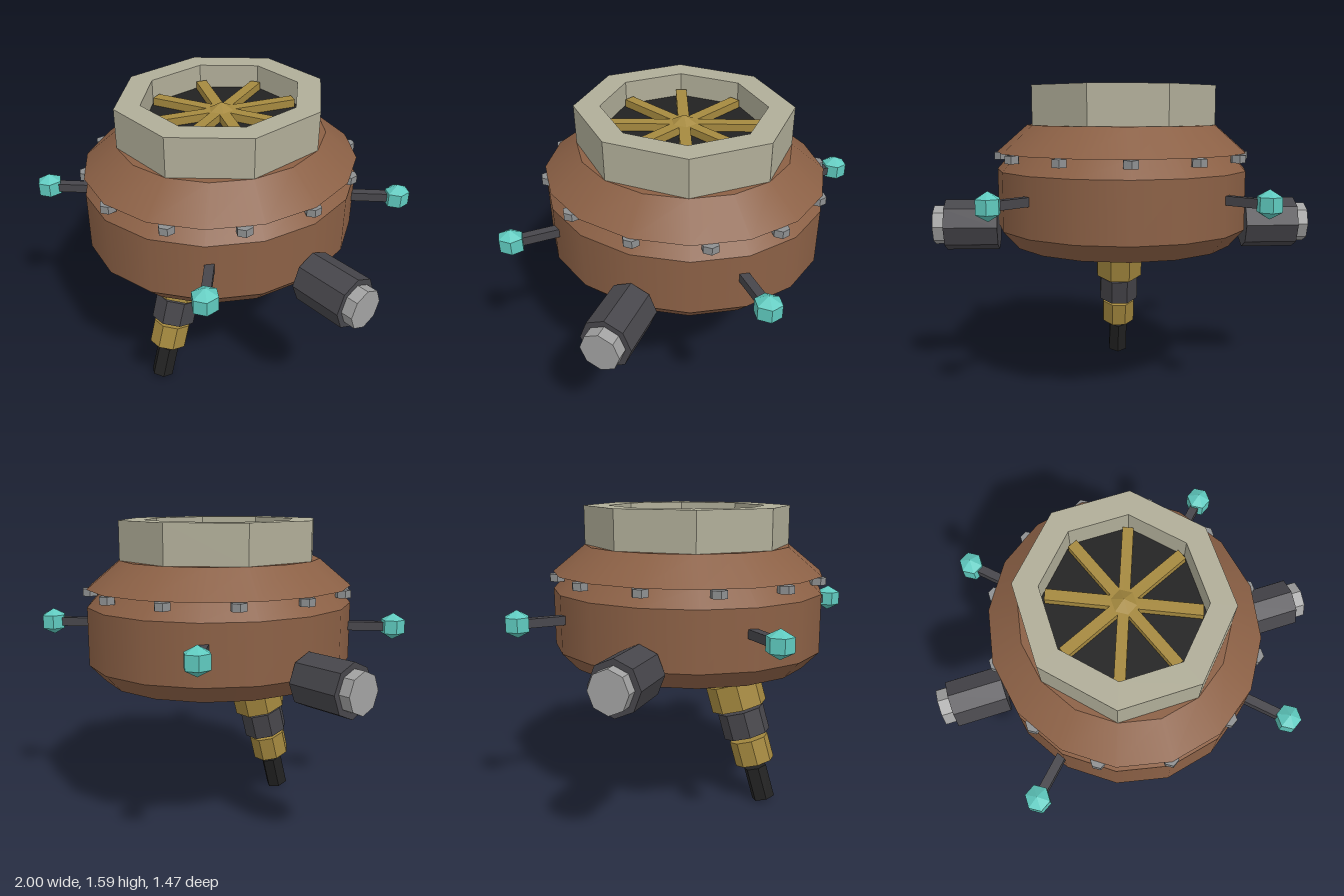
import * as THREE from 'three';

const DEPTH = 1.083; // the hull is slightly longer than it is wide

const material = (name, color) => {
  const m = new THREE.MeshStandardMaterial({ color });
  m.name = name;
  return m;
};

// Give every face its own normal
const flat = (geometry) => {
  const g = geometry.index ? geometry.toNonIndexed() : geometry;
  g.computeVertexNormals();
  return g;
};

const prism = (r, h, sides, turn = 0) =>
  flat(new THREE.CylinderGeometry(r, r, h, sides, 1, false, turn));

export function createModel() {
  const brown = material('brown hull', 0x8b6045);
  const stone = material('pale collar', 0xb0ad98);
  const brass = material('brass', 0xa5893f);
  const dark = material('dark metal', 0x47464b);
  const black = material('black', 0x222222);
  const silver = material('light metal', 0xa2a2a2);
  const boltGrey = material('bolt grey', 0x8e9091);
  const teal = material('teal', 0x5fcabf);

  const model = new THREE.Group();
  const hull = new THREE.Group();
  hull.name = 'hull';
  hull.scale.z = DEPTH;
  model.add(hull);

  const add = (parent, name, geometry, mat, x = 0, y = 0, z = 0) => {
    const mesh = new THREE.Mesh(geometry, mat);
    mesh.name = name;
    mesh.position.set(x, y, z);
    parent.add(mesh);
    return mesh;
  };

  // Hull drum: lower chamfer, wall, upper chamfer and overhanging roof
  const drum = [
    ['lowerChamfer', 0.77, 0.58, 0.86, 0.66, false],
    ['wall', 0.86, 0.66, 1.16, 0.66, true],
    ['upperChamfer', 1.16, 0.66, 1.25, 0.58, true],
    ['roof', 1.25, 0.66, 1.39, 0.5, false],
  ];
  for (const [name, y0, r0, y1, r1, open] of drum) {
    add(hull, name, new THREE.CylinderGeometry(r1, r0, y1 - y0, 16, 1, open), brown, 0, (y0 + y1) / 2, 0);
  }

  // Bolts in the groove under the roof
  for (let i = 0; i < 12; i++) {
    const a = (i * Math.PI) / 6;
    add(hull, 'bolt', prism(0.039, 0.038, 6), boltGrey, 0.64 * Math.sin(a), 1.228, 0.64 * Math.cos(a));
  }

  // Octagonal intake collar
  const collar = [[0.5, 1.385], [0.5, 1.59], [0.38, 1.59], [0.38, 1.4]]
    .map(([r, y]) => new THREE.Vector2(r, y));
  add(hull, 'collar', flat(new THREE.LatheGeometry(collar, 8, Math.PI / 8)), stone);
  add(hull, 'intakeFloor', prism(0.379, 0.08, 8, Math.PI / 8), black, 0, 1.43, 0);

  // Fan: four bars through the middle make eight blades
  for (let i = 0; i < 4; i++) {
    const blade = add(hull, 'fanBlade', new THREE.BoxGeometry(0.72, 0.04, 0.052), brass, 0, 1.49, 0);
    blade.rotation.y = Math.PI / 8 + (i * Math.PI) / 4;
  }
  const knobShape = flat(new THREE.SphereGeometry(0.07, 6, 3).rotateY(Math.PI / 6));
  add(hull, 'fanHub', knobShape, brass, 0, 1.475, 0);

  // Side thrusters with end caps
  for (const side of [-1, 1]) {
    const pod = new THREE.Group();
    pod.name = side > 0 ? 'leftThruster' : 'rightThruster';
    pod.position.y = 0.86;
    pod.scale.z = 0.945;
    model.add(pod);
    add(pod, 'thrusterBody', prism(0.135, 0.28, 8).rotateZ(Math.PI / 2), dark, side * 0.8, 0, 0);
    add(pod, 'thrusterCap', prism(0.104, 0.07, 8).rotateZ(Math.PI / 2), silver, side * 0.965, 0, 0);
  }

  // Four diagonal sensor arms
  for (const sx of [-1, 1]) {
    for (const sz of [-1, 1]) {
      const arm = new THREE.Group();
      arm.name = 'sensorArm';
      arm.position.set(sx * 0.64, 1.04, sz * 0.65);
      model.add(arm);
      add(arm, 'sensorKnob', knobShape, teal).scale.z = DEPTH;
      const rod = add(arm, 'sensorRod', new THREE.BoxGeometry(0.045, 0.045, 0.34), dark, -sx * 0.12, 0, -sz * 0.12);
      rod.rotation.y = (sx * sz * Math.PI) / 4;
    }
  }

  // Segmented probe sloping down to the front: radius, length, sides, colour, y, z
  const probe = [
    [0.161, 0.14, 8, dark, 0.748, 0.232],
    [0.138, 0.14, 8, brass, 0.597, 0.28],
    [0.116, 0.14, 8, dark, 0.445, 0.326],
    [0.098, 0.135, 8, brass, 0.29, 0.373],
    [0.058, 0.18, 6, black, 0.107, 0.419],
  ];
  for (const [r, length, sides, mat, y, z] of probe) {
    const segment = add(model, 'probeSegment', prism(r, length, sides, sides === 8 ? Math.PI / 8 : 0), mat, 0, y, z);
    segment.scale.z = DEPTH;
    segment.rotation.x = -0.28;
  }

  return model;
}
